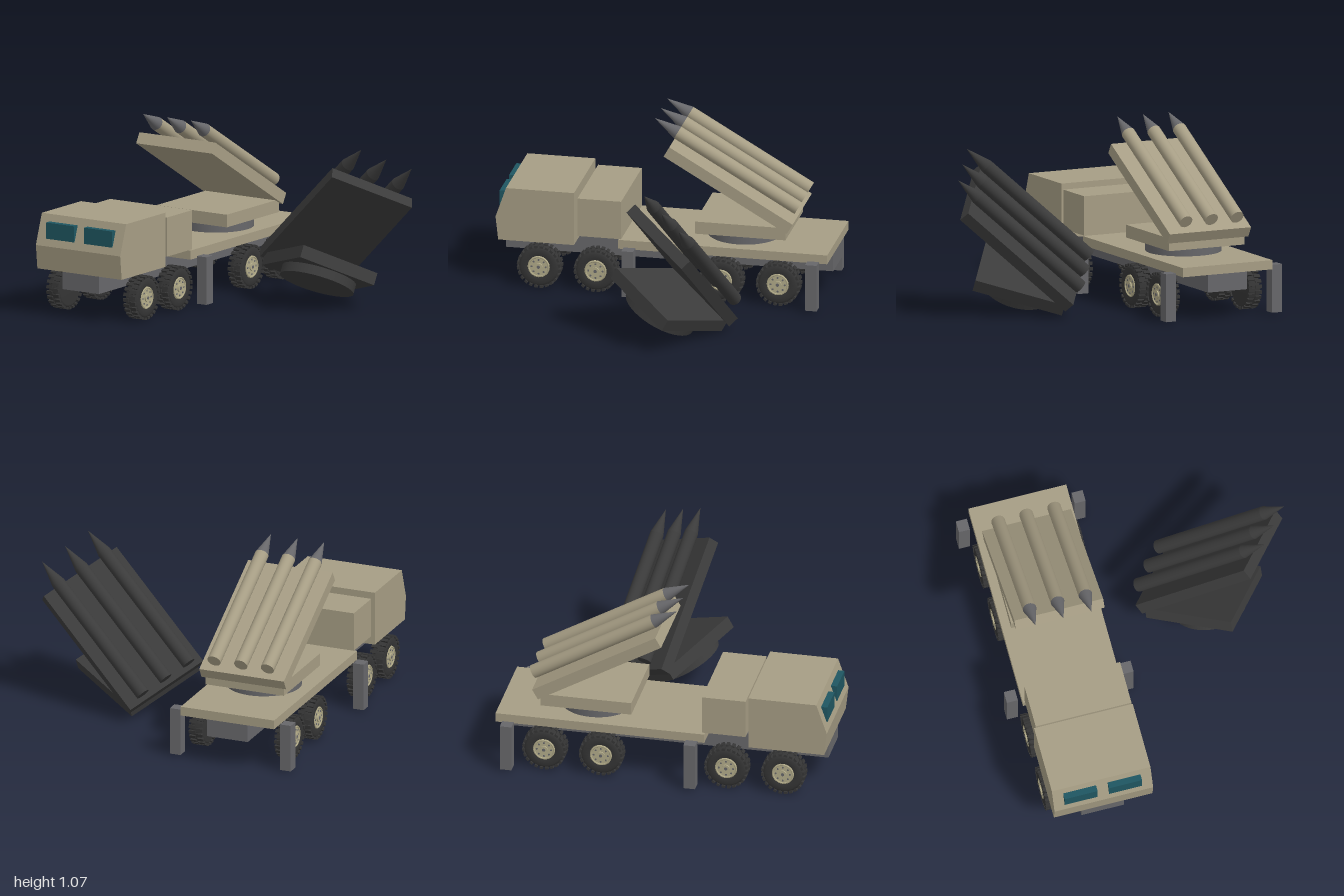
import * as THREE from 'three';

const mat = (name, color) => {
  const m = new THREE.MeshStandardMaterial({ color });
  m.name = name;
  return m;
};

export function createModel() {
  const sand = mat('sand paint', 0xa69d84);
  const steel = mat('grey steel', 0x67676a);
  const rubber = mat('tire rubber', 0x353535);
  const rimPaint = mat('rim paint', 0xb3ac8a);
  const glass = mat('teal glass', 0x1f5661);
  const charcoal = mat('charcoal', 0x3b3b3b);

  const model = new THREE.Group();
  model.name = 'launcherTruckAndDetachedLauncher';

  const add = (parent, name, geo, material, x = 0, y = 0, z = 0) => {
    const mesh = new THREE.Mesh(geo, material);
    mesh.name = name;
    mesh.position.set(x, y, z);
    parent.add(mesh);
    return mesh;
  };
  // box given by its limits on each axis
  const box = (parent, name, material, x0, x1, y0, y1, z0, z1) =>
    add(parent, name, new THREE.BoxGeometry(x1 - x0, y1 - y0, z1 - z0), material,
      (x0 + x1) / 2, (y0 + y1) / 2, (z0 + z1) / 2);

  const truck = new THREE.Group();
  truck.name = 'truck';
  truck.position.x = -0.535;
  model.add(truck);

  // chassis, deck and equipment box
  box(truck, 'chassis', steel, -0.13, 0.13, 0.175, 0.28, -0.995, 0.973);
  box(truck, 'deck', sand, -0.298, 0.298, 0.28, 0.335, -0.995, 0.262);
  box(truck, 'equipmentBox', sand, -0.285, 0.298, 0.34, 0.575, 0.245, 0.508);

  // cab: side profile extruded across the width
  const profile = new THREE.Shape([
    [0.528, 0.282], [0.984, 0.282], [1.0, 0.425], [0.937, 0.608], [0.528, 0.608],
  ].map(([z, y]) => new THREE.Vector2(z, y)));
  const cab = new THREE.ExtrudeGeometry(profile, { depth: 0.6, bevelEnabled: false });
  cab.rotateY(-Math.PI / 2);
  add(truck, 'cab', cab, sand, 0.3);
  for (const s of [-1, 1]) {
    add(truck, 'windscreen', new THREE.BoxGeometry(0.2, 0.097, 0.045), glass, s * 0.135, 0.517, 0.967);
  }

  // stabiliser legs
  for (const s of [-1, 1]) {
    for (const z of [0.19, -0.915]) {
      add(truck, 'stabiliserLeg', new THREE.BoxGeometry(0.067, 0.286, 0.07), steel, s * 0.352, 0.155, z);
    }
  }

  // wheel with its axle on x and the rim on +x
  const disc = (r, w, sides = 32) => new THREE.CylinderGeometry(r, r, w, sides).rotateZ(-Math.PI / 2);
  const tireGeo = new THREE.LatheGeometry([
    [0, -0.04], [0.105, -0.04], [0.121, -0.03], [0.124, 0], [0.121, 0.03],
    [0.105, 0.042], [0.07, 0.042], [0.066, 0.034], [0, 0.034],
  ].map(([r, h]) => new THREE.Vector2(r, h)), 32).rotateZ(-Math.PI / 2);
  const treadGeo = new THREE.BoxGeometry(0.04, 0.014, 0.02);
  const boltGeo = disc(0.006, 0.006, 8);
  const rimGeo = disc(0.066, 0.008);
  const hubGeo = disc(0.024, 0.012, 20);
  const capGeo = disc(0.01, 0.008, 12);
  const ringGeo = new THREE.TorusGeometry(0.06, 0.005, 6, 28).rotateY(Math.PI / 2);

  const makeWheel = () => {
    const wheel = new THREE.Group();
    wheel.name = 'wheel';
    add(wheel, 'tire', tireGeo, rubber);
    const n = 24;
    for (let i = 0; i < n; i++) {
      for (const side of [-1, 1]) {
        const a = ((i + (side > 0 ? 0.5 : 0)) / n) * Math.PI * 2;
        const tread = add(wheel, 'treadBlock', treadGeo, rubber,
          side * 0.023, Math.cos(a) * 0.124, Math.sin(a) * 0.124);
        tread.rotation.x = a;
      }
    }
    add(wheel, 'rim', rimGeo, rimPaint, 0.035);
    add(wheel, 'rimRing', ringGeo, rimPaint, 0.039);
    add(wheel, 'hub', hubGeo, rimPaint, 0.041);
    add(wheel, 'hubCap', capGeo, steel, 0.045);
    for (let i = 0; i < 8; i++) {
      const a = (i / 8) * Math.PI * 2;
      add(wheel, 'wheelBolt', boltGeo, steel, 0.038, Math.cos(a) * 0.043, Math.sin(a) * 0.043);
    }
    return wheel;
  };
  for (const s of [-1, 1]) {
    for (const z of [0.738, 0.396, -0.358, -0.7]) {
      const wheel = makeWheel();
      wheel.position.set(s * 0.273, 0.134, z);
      if (s < 0) wheel.rotation.y = Math.PI;
      truck.add(wheel);
    }
  }

  // launcher: turntable, platform and tilted rack with three rockets
  const makeLauncher = (name, body, base, nose) => {
    const launcher = new THREE.Group();
    launcher.name = name;
    add(launcher, 'turntable', new THREE.CylinderGeometry(0.225, 0.225, 0.058, 40), base, 0, 0.029, 0);
    box(launcher, 'platform', body, -0.25, 0.25, 0.057, 0.133, -0.293, 0.252);

    const rack = new THREE.Group();
    rack.name = 'rack';
    rack.position.set(0, 0.38, 0.03);
    rack.rotation.x = -Math.PI / 6;
    launcher.add(rack);
    add(rack, 'rackPlate', new THREE.BoxGeometry(0.54, 0.07, 0.856), body, 0, -0.035, 0);
    for (const x of [-0.17, 0, 0.17]) {
      add(rack, 'rocketTube', new THREE.CylinderGeometry(0.041, 0.041, 0.837, 24).rotateX(Math.PI / 2),
        body, x, 0.066, 0.0145);
      add(rack, 'rocketNose', new THREE.ConeGeometry(0.041, 0.16, 24).rotateX(Math.PI / 2),
        nose, x, 0.066, 0.513);
    }
    return launcher;
  };

  const mounted = makeLauncher('mountedLauncher', sand, steel, steel);
  mounted.position.set(0, 0.335, -0.44);
  truck.add(mounted);

  // second launcher, lying tipped beside the truck
  const detached = makeLauncher('detachedLauncher', charcoal, charcoal, charcoal);
  detached.position.set(0.399, 0.143, -0.123);
  detached.rotation.set(-0.5, 0.985, 0);
  model.add(detached);

  return model;
}
